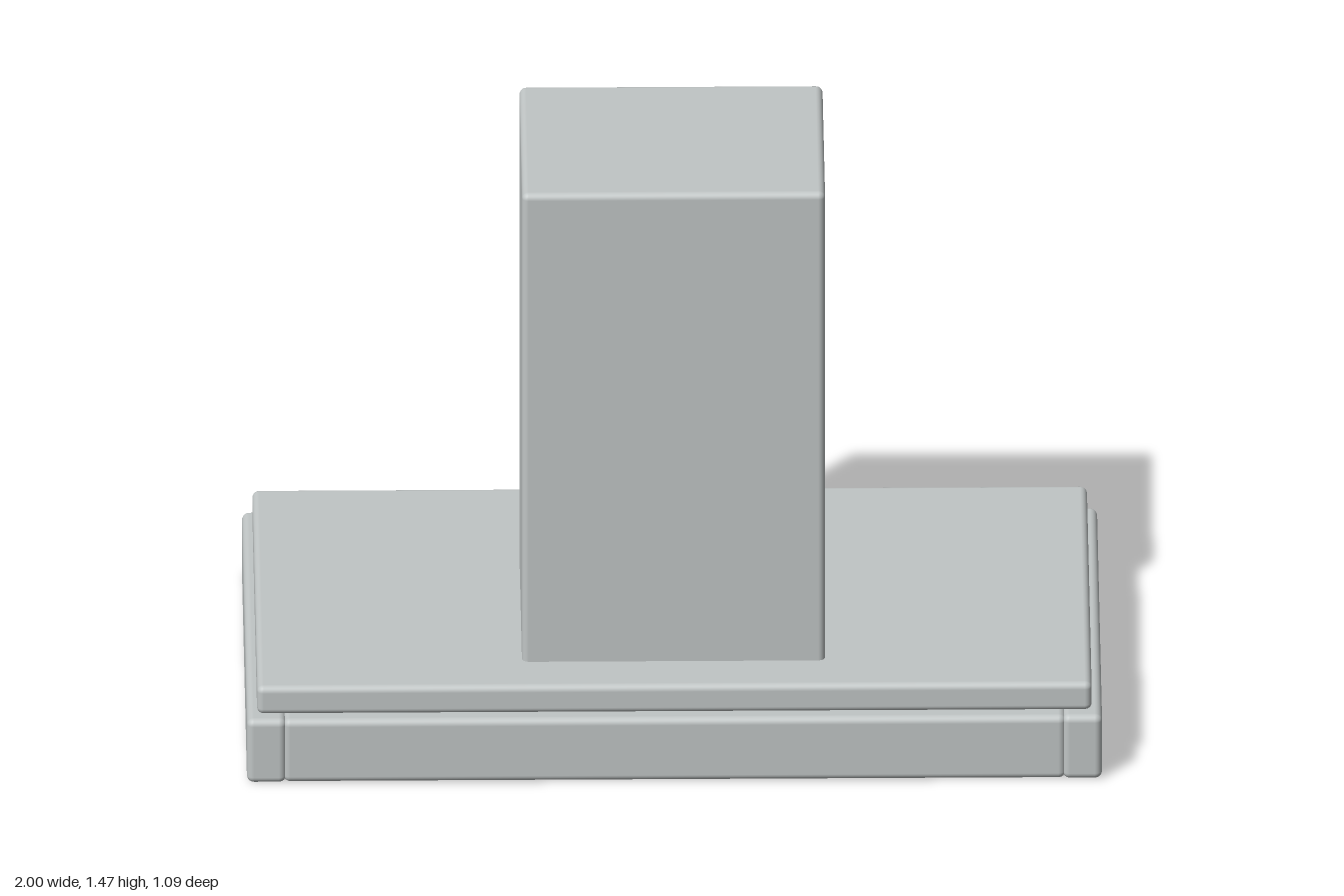
import * as THREE from 'three';
import { RoundedBoxGeometry } from 'three/addons/geometries/RoundedBoxGeometry.js';

export function createModel() {
  const model = new THREE.Group();
  model.name = 'cookerHood';
  const mat = (name, color) => {
    const m = new THREE.MeshStandardMaterial({ color });
    m.name = name;
    return m;
  };
  const steel = mat('brushed steel', 0xc0c5c5);
  const black = mat('black', 0x141414);

  // Box given by its limits on each axis; a radius rounds the edges
  const box = (name, x, y, z, material, radius = 0) => {
    const size = [x, y, z].map(([a, b]) => b - a);
    const geo = radius
      ? new RoundedBoxGeometry(...size, 3, radius)
      : new THREE.BoxGeometry(...size);
    const mesh = new THREE.Mesh(geo, material);
    mesh.name = name;
    mesh.position.set((x[0] + x[1]) / 2, (y[0] + y[1]) / 2, (z[0] + z[1]) / 2);
    model.add(mesh);
    return mesh;
  };

  // Chimney and canopy plate
  box('chimney', [-0.355, 0.354], [0.22, 1.468], [-0.17, 0.387], steel, 0.016);
  box('canopyPlate', [-0.976, 0.976], [0.165, 0.238], [-0.498, 0.512], steel, 0.016);

  // Rim: two side bars with the front and back bars between them
  box('leftRim', [0.908, 1], [0, 0.167], [-0.525, 0.543], steel, 0.017);
  box('rightRim', [-1, -0.908], [0, 0.167], [-0.525, 0.543], steel, 0.017);
  box('frontRim', [-0.915, 0.915], [0.001, 0.166], [0.45, 0.542], steel, 0.017);
  box('backRim', [-0.915, 0.915], [0.001, 0.166], [-0.524, -0.432], steel, 0.017);

  // Underside: ceiling, centre divider and two slatted grease filters
  box('filterCeiling', [-0.92, 0.92], [0.11, 0.125], [-0.44, 0.46], steel);
  box('centreDivider', [-0.035, 0.035], [0.035, 0.115], [-0.44, 0.455], steel);
  const slats = 14;
  for (const s of [-1, 1]) {
    const span = (a, b) => (s > 0 ? [a, b] : [-b, -a]);
    box('filterInnerEdge', span(0.03, 0.055), [0.02, 0.115], [-0.435, 0.435], steel, 0.006);
    box('filterOuterEdge', span(0.885, 0.91), [0.02, 0.115], [-0.435, 0.435], steel, 0.006);
    box('filterFrontEdge', span(0.05, 0.89), [0.02, 0.115], [0.412, 0.435], steel, 0.006);
    box('filterBackEdge', span(0.05, 0.89), [0.02, 0.115], [-0.435, -0.412], steel, 0.006);
    for (let i = 0; i < slats; i++) {
      const z = -0.385 + (i * 0.77) / (slats - 1);
      box('filterSlat', span(0.052, 0.888), [0.035, 0.06], [z - 0.018, z + 0.018], steel, 0.006);
    }
    // Round lamp in the back outer corner
    const lamp = new THREE.Mesh(new THREE.CylinderGeometry(0.05, 0.05, 0.03, 32), steel);
    lamp.name = 'lamp';
    lamp.position.set(s * 0.835, 0.035, -0.355);
    model.add(lamp);
  }

  // Air outlet slats on the back of the chimney
  for (let i = 0; i < 8; i++) {
    const y = 1.209 + i * 0.0177;
    box('outletSlat', [-0.269, 0.267], [y - 0.006, y + 0.006], [-0.181, -0.168], black);
  }

  // Control buttons just off the back rim
  for (let i = 0; i < 4; i++) {
    const button = new THREE.Mesh(new THREE.CylinderGeometry(0.013, 0.013, 0.012, 20), black);
    button.name = 'button';
    button.rotation.x = Math.PI / 2;
    button.position.set(-0.093 + i * 0.061, 0.091, -0.537);
    model.add(button);
  }
  return model;
}
